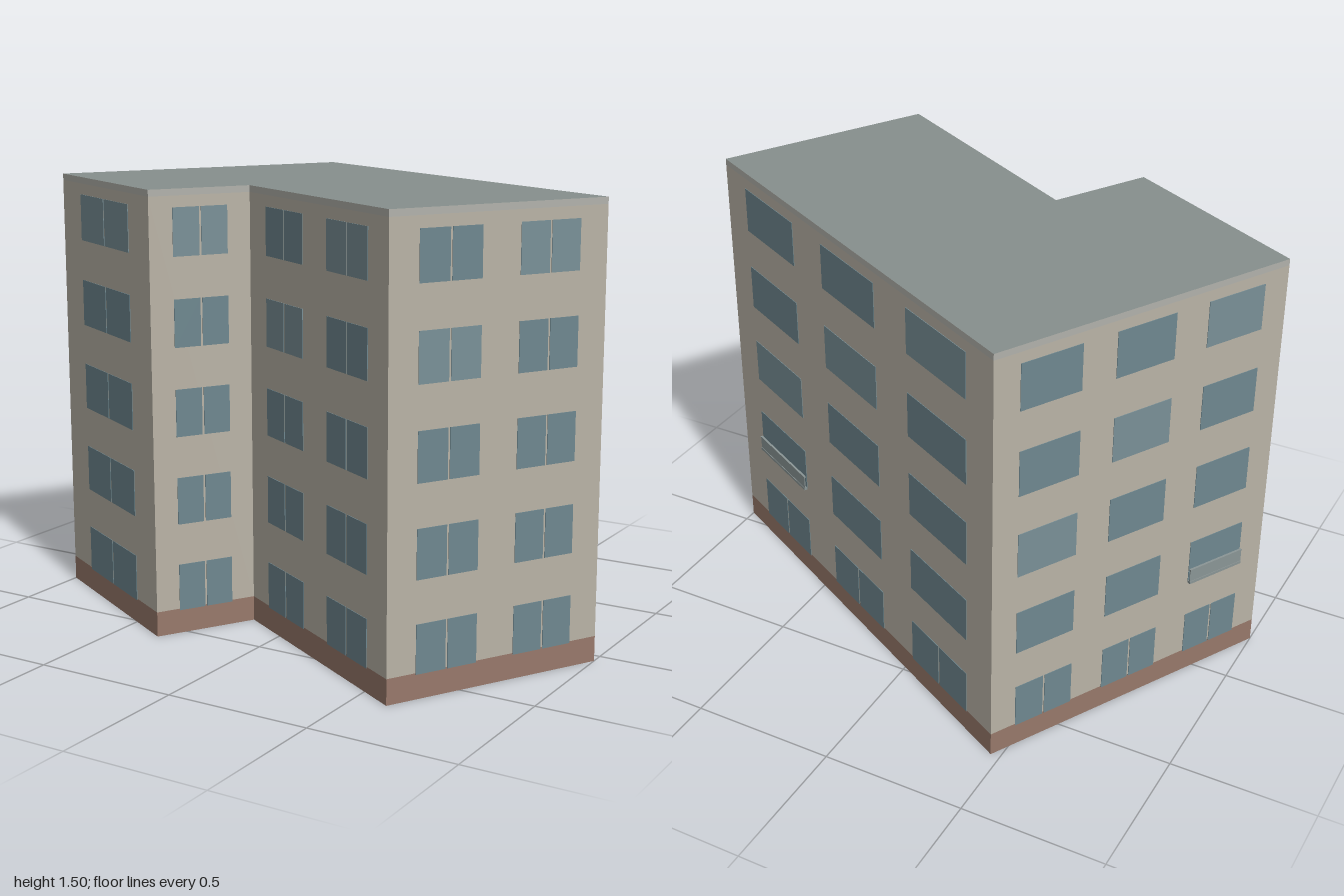
import * as THREE from 'three';

const mat = (color) => new THREE.MeshStandardMaterial({ color });
const wallMat = mat(0xbab4a7);
const plinthMat = mat(0x98796b);
const roofMat = mat(0x87908d);
const trimMat = mat(0xb2b2ac);
const glassMat = mat(0x6f8890);
const paleGlassMat = mat(0x7a9198);
const balconyMat = mat(0x8b9696);

// L-shaped footprint as [x, z] corners
const plan = [[-1, 0.233], [-0.348, 0.595], [-0.167, 0.283], [0.615, 0.731], [1, 0.048], [-0.467, -0.736]];

// Facades in the same order: window spans along the wall, and which are split in two panes
const pairSpans = [[0.132, 0.412], [0.588, 0.868]];
const backSpans = [[0.085, 0.285], [0.4, 0.6], [0.715, 0.915]];
const facades = [
  { name: 'frontLeftFacade', spans: [[0.223, 0.777]], split: true },
  { name: 'recessFacade', spans: [[0.23, 0.77]], split: true },
  { name: 'frontFacade', spans: pairSpans, split: true },
  { name: 'sideFacade', spans: pairSpans, split: true },
  { name: 'backFacade', spans: backSpans, split: false, balcony: 0 },
  { name: 'rearSideFacade', spans: backSpans, split: false, balcony: 2 },
];

const FLOORS = 5;
const STOREY = 0.3;
const WINDOW_HEIGHT = 0.16;

// Footprint prism from y0 to y1
function layer(name, y0, y1, capMat, sideMat) {
  const shape = new THREE.Shape(plan.map(([x, z]) => new THREE.Vector2(x, -z)));
  const geo = new THREE.ExtrudeGeometry(shape, { depth: y1 - y0, bevelEnabled: false });
  geo.rotateX(-Math.PI / 2);
  geo.translate(0, y0, 0);
  const mesh = new THREE.Mesh(geo, [capMat, sideMat]);
  mesh.name = name;
  return mesh;
}

// Box given by its x and y ranges and its front and back depth
function block(name, x0, x1, y0, y1, z0, z1, material) {
  const mesh = new THREE.Mesh(new THREE.BoxGeometry(x1 - x0, y1 - y0, z1 - z0), material);
  mesh.position.set((x0 + x1) / 2, (y0 + y1) / 2, (z0 + z1) / 2);
  mesh.name = name;
  return mesh;
}

// Shallow balcony: slab, front panel and handrail
function makeBalcony(x0, x1) {
  const g = new THREE.Group();
  g.name = 'balcony';
  g.add(
    block('balconySlab', x0, x1, 0.376, 0.386, 0, 0.013, balconyMat),
    block('balconyPanel', x0, x1, 0.386, 0.427, 0.008, 0.011, balconyMat),
    block('balconyRail', x0, x1, 0.427, 0.434, 0.005, 0.013, balconyMat),
  );
  return g;
}

function makeFacade({ name, spans, split, balcony }, start, end) {
  const g = new THREE.Group();
  g.name = name;
  const dx = end[0] - start[0], dz = end[1] - start[1];
  const length = Math.hypot(dx, dz);
  // Local x runs along the wall, local z points outward
  g.position.set(start[0], 0, start[1]);
  g.rotation.y = Math.atan2(-dz, dx);

  spans.forEach(([t0, t1], col) => {
    const x0 = t0 * length, x1 = t1 * length, mid = (x0 + x1) / 2;
    for (let floor = 0; floor < FLOORS; floor++) {
      const y = 0.08 + floor * STOREY;
      const material = floor - col === FLOORS - spans.length ? paleGlassMat : glassMat;
      const panes = split || floor === 0 ? [[x0, mid - 0.0035], [mid + 0.0035, x1]] : [[x0, x1]];
      for (const [a, b] of panes) {
        g.add(block('windowPane', a, b, y, y + WINDOW_HEIGHT, -0.002, 0.002, material));
      }
    }
    if (col === balcony) g.add(makeBalcony(x0, x1));
  });
  return g;
}

export function createModel() {
  const building = new THREE.Group();
  building.name = 'apartmentBlock';
  building.add(
    layer('plinth', 0, 0.085, wallMat, plinthMat),
    layer('walls', 0.085, 1.478, wallMat, wallMat),
    layer('roof', 1.478, 1.5, roofMat, trimMat),
  );
  facades.forEach((f, i) => building.add(makeFacade(f, plan[i], plan[(i + 1) % plan.length])));
  return building;
}
